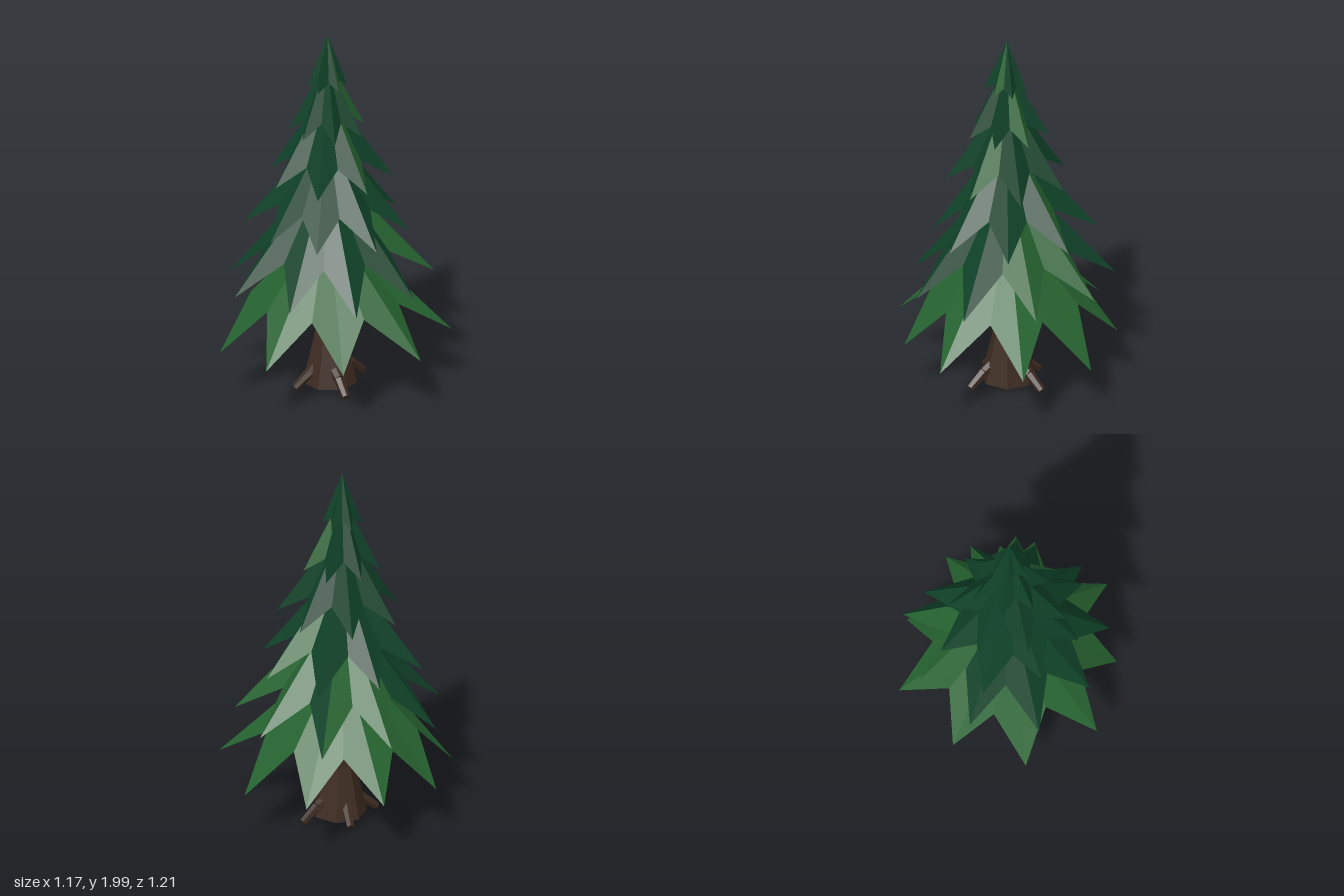
import * as THREE from 'three';

const mat = (name, color, side = THREE.FrontSide) => {
  const m = new THREE.MeshStandardMaterial({ color, side, flatShading: true });
  m.name = name;
  return m;
};

// Point at a compass angle (degrees from +x towards +z)
const polar = (deg, r, y) => {
  const a = THREE.MathUtils.degToRad(deg);
  return new THREE.Vector3(r * Math.cos(a), y, r * Math.sin(a));
};

// Jagged skirt of branches: a cone whose rim alternates long tips and short notches.
// `light` lists the half-tooth facets with the lighter green (2i and 2i+1 flank tip i).
function branchTier({ name, apex, start, tips, tipY, notchR, notchY, light }, mats) {
  const n = tips.length, step = 360 / n;
  const rim = [];
  for (let i = 0; i < n; i++) {
    const y = Array.isArray(tipY) ? tipY[i] : tipY;
    rim.push(polar(start + (i - 0.5) * step, notchR, notchY));
    rim.push(polar(start + i * step, tips[i], y));
  }
  const top = new THREE.Vector3(0, apex, 0);
  const pts = [];
  const geo = new THREE.BufferGeometry();
  rim.forEach((p, i) => {
    pts.push(top, rim[(i + 1) % rim.length], p);
    geo.addGroup(i * 3, 3, light === 'all' || light.includes(i) ? 1 : 0);
  });
  geo.setFromPoints(pts);
  geo.computeVertexNormals();
  const mesh = new THREE.Mesh(geo, mats);
  mesh.name = name;
  return mesh;
}

// Tapered rod between two points
function rod(a, b, ra, rb, material) {
  const dir = b.clone().sub(a);
  const mesh = new THREE.Mesh(new THREE.CylinderGeometry(rb, ra, dir.length(), 6), material);
  mesh.position.copy(a).add(b).multiplyScalar(0.5);
  mesh.quaternion.setFromUnitVectors(new THREE.Vector3(0, 1, 0), dir.normalize());
  return mesh;
}

export function createModel() {
  const group = new THREE.Group();
  group.name = 'pineTree';
  const bark = mat('bark brown', 0x3d2b21);
  const greens = [
    mat('dark needle green', 0x0f4128, THREE.DoubleSide),
    mat('light needle green', 0x266330, THREE.DoubleSide),
  ];

  // Branch tiers from the ground up
  const tiers = [
    { name: 'branchTier1', apex: 0.98, start: 28.3, notchR: 0.4, notchY: 0.53, light: 'all',
      tips: [0.65, 0.65, 0.56, 0.61, 0.59, 0.56, 0.605, 0.575, 0.595],
      tipY: [0.33, 0.33, 0.3, 0.31, 0.27, 0.29, 0.34, 0.31, 0.27] },
    { name: 'branchTier2', apex: 1.27, start: 20, notchR: 0.33, notchY: 0.8,
      light: [0, 1, 12, 13, 14, 16, 17],
      tips: [0.56, 0.55, 0.526, 0.5, 0.54, 0.52, 0.526, 0.57, 0.555],
      tipY: [0.63, 0.61, 0.6, 0.61, 0.61, 0.6, 0.62, 0.61, 0.63] },
    { name: 'branchTier3', apex: 1.48, start: 35, notchR: 0.26, notchY: 1.06, light: [14],
      tips: [0.43, 0.43, 0.38, 0.37, 0.44, 0.4, 0.47, 0.45], tipY: 0.91 },
    { name: 'branchTier4', apex: 1.7, start: 23, notchR: 0.19, notchY: 1.31, light: [2],
      tips: [0.34, 0.31, 0.32, 0.31, 0.32, 0.33, 0.33], tipY: 1.19 },
    { name: 'branchTier5', apex: 1.87, start: 3, notchR: 0.12, notchY: 1.54, light: [0, 1],
      tips: [0.21, 0.2, 0.21, 0.2, 0.2, 0.21, 0.22], tipY: 1.46 },
    { name: 'branchTier6', apex: 2, start: 20, notchR: 0.065, notchY: 1.75, light: [2],
      tips: [0.105, 0.1, 0.12, 0.105, 0.1, 0.11], tipY: 1.71 },
  ];
  tiers.forEach((t) => group.add(branchTier(t, greens)));

  // Flared seven-sided trunk
  const profile = [[0, 0.03], [0.145, 0.03], [0.12, 0.14], [0.078, 0.32], [0.06, 0.9], [0, 0.92]];
  const trunk = new THREE.Mesh(
    new THREE.LatheGeometry(profile.map(([r, y]) => new THREE.Vector2(r, y)), 7), bark);
  trunk.name = 'trunk';
  trunk.position.x = 0.015;
  group.add(trunk);

  // Bent roots: [angle, reach]
  [[92, 0.23], [-13, 0.24], [-84, 0.19], [180, 0.19]].forEach(([deg, reach], i) => {
    const root = new THREE.Group();
    root.name = `root${i + 1}`;
    const a = polar(deg, 0.07, 0.135);
    const b = polar(deg, reach - 0.085, 0.095);
    const c = polar(deg, reach, 0.025);
    root.add(rod(a, b, 0.03, 0.027, bark), rod(b, c, 0.027, 0.021, bark));
    group.add(root);
  });

  return group;
}
